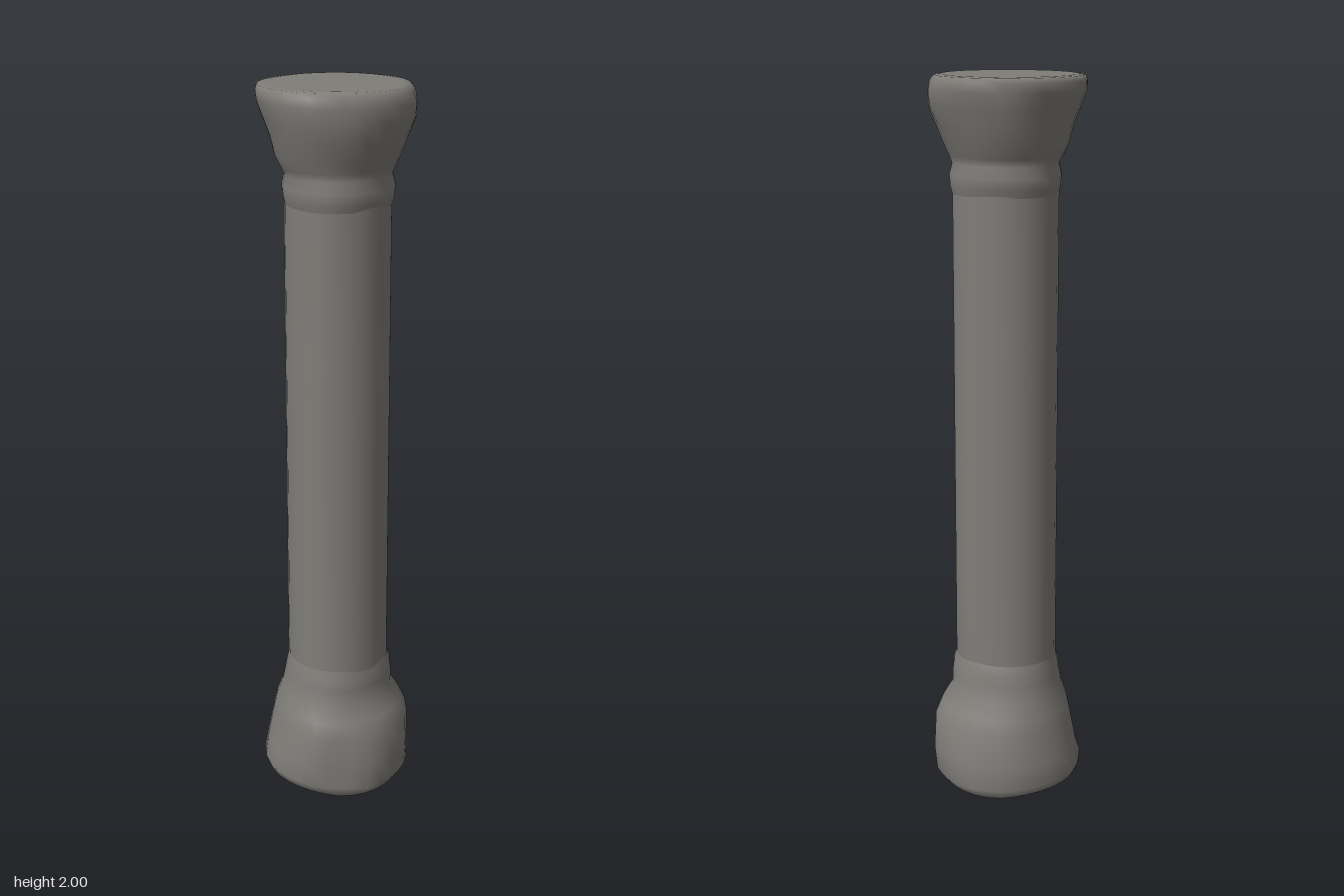
import * as THREE from 'three';
import { mergeVertices } from 'three/addons/utils/BufferGeometryUtils.js';

const LIMIT = 0.207; // the worn stone is cut flat at these outer planes

// Turned section from rows of [y, reach to +x, -x, +z, -z], worn by a soft lump of given size
function turned(name, rows, material, lump) {
  // lathe radius holds the row number until the vertices are placed
  let geo = new THREE.LatheGeometry(rows.map((r, i) => new THREE.Vector2(i + 1, r[0])), 32);
  geo.deleteAttribute('uv');
  geo.deleteAttribute('normal');
  const p = geo.attributes.position;
  for (let i = 0; i < p.count; i++) {
    const row = rows[i % rows.length];
    const a = Math.floor(i / rows.length) / 32 * Math.PI * 2;
    const s = Math.sin(a), c = Math.cos(a);
    let y = row[0];
    const wear = 1 + lump * (Math.sin(3 * a + y * 9) + 0.6 * Math.sin(5 * a - y * 14));
    const x = s * (s > 0 ? row[1] : row[2]) * wear;
    const z = c * (c > 0 ? row[3] : row[4]) * wear;
    // underside rises towards the right of the foot
    if (y < 0.06) y += Math.max(0, -x) * 0.09;
    p.setXYZ(i, THREE.MathUtils.clamp(x, -LIMIT, LIMIT), y, THREE.MathUtils.clamp(z, -LIMIT, LIMIT));
  }
  geo = mergeVertices(geo, 1e-5);
  geo.computeVertexNormals();
  const mesh = new THREE.Mesh(geo, material);
  mesh.name = name;
  return mesh;
}

export function createModel() {
  const stone = new THREE.MeshStandardMaterial({ color: 0x7f7d78 });
  stone.name = 'grey stone';
  const group = new THREE.Group();
  group.name = 'column';

  // Bulging foot with a small bead above it
  group.add(turned('base', [
    [0, 0, 0, 0, 0],
    [0, 0.17, 0.17, 0.18, 0.18],
    [0.005, 0.195, 0.2, 0.205, 0.2],
    [0.03, 0.215, 0.212, 0.218, 0.215],
    [0.1, 0.22, 0.197, 0.22, 0.214],
    [0.19, 0.215, 0.18, 0.214, 0.194],
    [0.23, 0.19, 0.172, 0.19, 0.18],
    [0.28, 0.16, 0.155, 0.167, 0.16],
    [0.32, 0.16, 0.148, 0.166, 0.15],
    [0.35, 0.156, 0.143, 0.162, 0.148],
    [0.38, 0.149, 0.136, 0.155, 0.136],
  ], stone, 0.012));

  // Plain shaft
  group.add(turned('shaft', [0.36, 0.8, 1.25, 1.72].map(y => [y, 0.149, 0.136, 0.155, 0.135]), stone, 0));

  // Bead and flaring top with a rounded rim
  group.add(turned('capital', [
    [1.69, 0.149, 0.136, 0.155, 0.135],
    [1.71, 0.154, 0.141, 0.161, 0.141],
    [1.74, 0.156, 0.144, 0.166, 0.15],
    [1.77, 0.148, 0.137, 0.157, 0.139],
    [1.79, 0.156, 0.148, 0.163, 0.146],
    [1.82, 0.17, 0.163, 0.176, 0.163],
    [1.87, 0.19, 0.174, 0.197, 0.18],
    [1.92, 0.214, 0.192, 0.213, 0.197],
    [1.96, 0.218, 0.206, 0.217, 0.21],
    [1.985, 0.208, 0.21, 0.212, 0.215],
    [1.998, 0.197, 0.2, 0.2, 0.205],
    [2, 0.178, 0.182, 0.182, 0.185],
    [2, 0, 0, 0, 0],
  ], stone, 0.01));

  return group;
}
